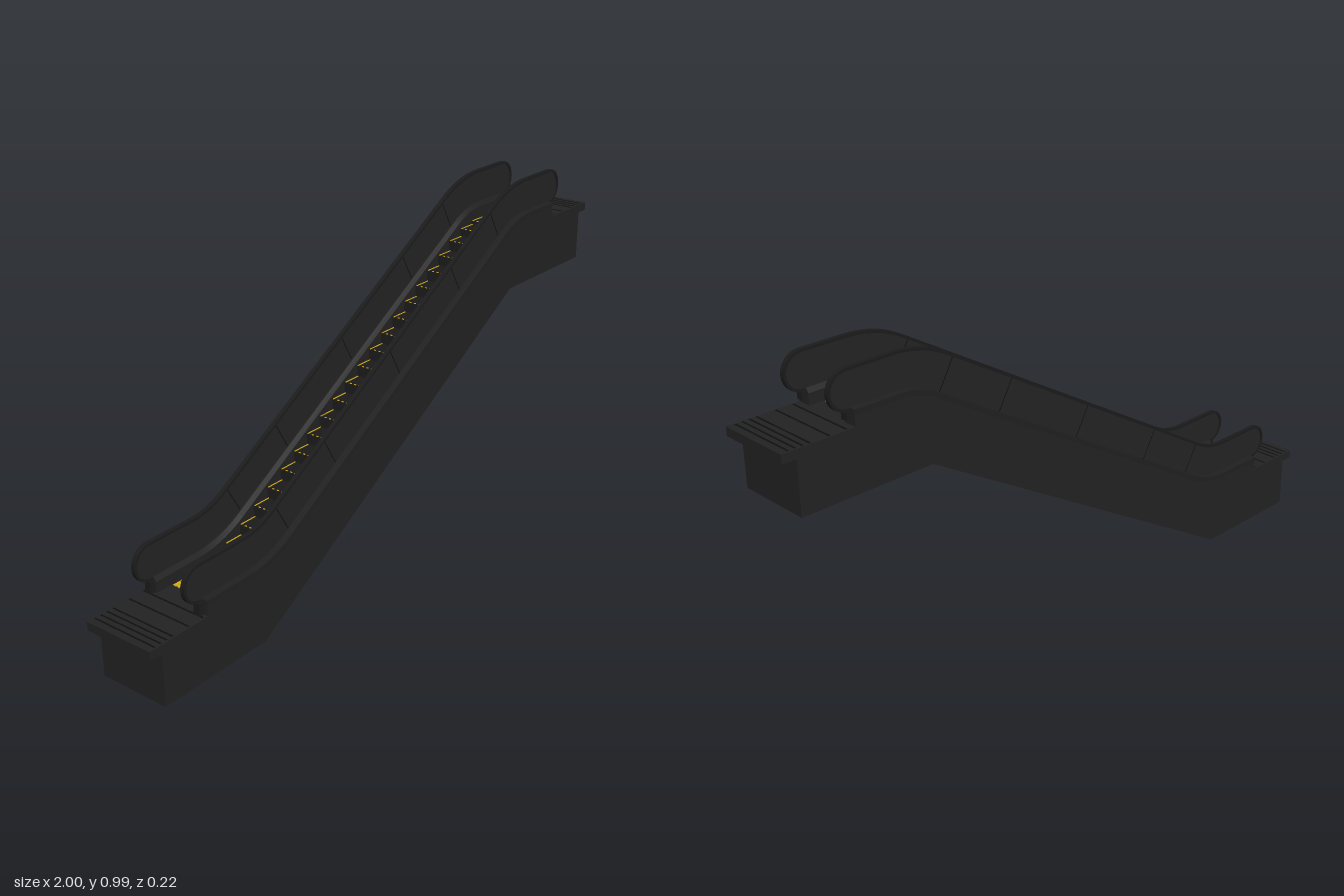
import * as THREE from 'three';
import { mergeGeometries, toCreasedNormals } from 'three/addons/utils/BufferGeometryUtils.js';

const mat = (name, color, side = THREE.FrontSide) => {
  const m = new THREE.MeshStandardMaterial({ color, side });
  m.name = name;
  return m;
};

// Balustrade centre line: flat, 30 degree rise, flat, with rounded bends
function makePath(x0, x1) {
  const p = new THREE.Path();
  p.moveTo(x0, 0.27);
  p.lineTo(-0.65, 0.27);
  p.quadraticCurveTo(-0.57, 0.27, -0.5, 0.3106);
  p.lineTo(0.508, 0.8945);
  p.quadraticCurveTo(0.578, 0.935, 0.66, 0.935);
  p.lineTo(x1, 0.935);
  return p;
}

// Points and normals sampled along a path
function frames(path) {
  const pts = path.getPoints(10);
  return pts.map((p, i) => {
    const a = pts[Math.max(i - 1, 0)], b = pts[Math.min(i + 1, pts.length - 1)];
    const t = b.clone().sub(a).normalize();
    return { p, n: new THREE.Vector2(-t.y, t.x) };
  });
}
const offset = (fr, d) => fr.map(({ p, n }) => p.clone().addScaledVector(n, d));
const drop = (fr, d) => fr.map(({ p }) => new THREE.Vector2(p.x, p.y - d));

// Stadium outline of half height r following the path, with round ends
function stadium(fr, r) {
  const cap = (c, from) => Array.from({ length: 13 }, (_, i) => {
    const a = from + Math.PI * (i + 1) / 14;
    return new THREE.Vector2(c.x + r * Math.cos(a), c.y + r * Math.sin(a));
  });
  return [...offset(fr, -r), ...cap(fr[fr.length - 1].p, -Math.PI / 2),
    ...offset(fr, r).reverse(), ...cap(fr[0].p, Math.PI / 2)];
}

// Extrude an x-y outline between two z values
function slab(points, z0, z1, hole) {
  const s = new THREE.Shape(points);
  if (hole) s.holes.push(new THREE.Path(hole));
  const g = new THREE.ExtrudeGeometry(s, { depth: z1 - z0, bevelEnabled: false });
  return toCreasedNormals(g.translate(0, 0, z0), 0.6);
}

// Sweep a convex (z, offset) section along the path
function sweep(fr, section) {
  const k = section.length, pos = [], idx = [];
  fr.forEach(({ p, n }) => section.forEach(([z, d]) => pos.push(p.x + n.x * d, p.y + n.y * d, z)));
  for (let i = 0; i < fr.length - 1; i++) {
    for (let j = 0; j < k; j++) {
      const a = i * k + j, b = i * k + (j + 1) % k;
      idx.push(a, a + k, b, b, a + k, b + k);
    }
  }
  const e = (fr.length - 1) * k;
  for (let j = 1; j < k - 1; j++) idx.push(0, j, j + 1, e, e + j + 1, e + j);
  const g = new THREE.BufferGeometry();
  g.setAttribute('position', new THREE.Float32BufferAttribute(pos, 3));
  g.setIndex(idx);
  return toCreasedNormals(g, 0.3);
}

// Box given by its limits
const box = (x0, x1, y0, y1, z0, z1) => new THREE.BoxGeometry(x1 - x0, y1 - y0, z1 - z0)
  .translate((x0 + x1) / 2, (y0 + y1) / 2, (z0 + z1) / 2);

export function createModel() {
  const group = new THREE.Group();
  group.name = 'escalator';
  const body = mat('charcoal cladding', 0x222222);
  const deckMat = mat('dark deck', 0x202020, THREE.DoubleSide);
  const rubber = mat('black rubber', 0x1b1b1b);
  const panelMat = mat('smoked panel', 0x232323);
  const stepMat = mat('step metal', 0x1c1c1c);
  const seamMat = mat('seam black', 0x101010);
  const yellow = mat('safety yellow', 0xd6ac14);
  const add = (name, geometry, material, parent = group) => {
    const m = new THREE.Mesh(geometry, material);
    m.name = name;
    parent.add(m);
  };

  // Truss casing beneath the steps
  const bottom = [[-0.96, 0], [-0.59, 0], [0.56, 0.67], [0.96, 0.67]].map(([x, y]) => new THREE.Vector2(x, y));
  const trussTop = drop(frames(makePath(-0.96, 0.96)), 0.12).reverse();
  add('truss', slab([...bottom, ...trussTop], -0.11, 0.11), body);

  // Both sides: wall, deck, panel, handrail and inlet
  const wallLine = frames(makePath(-0.8, 0.79));
  const railLine = frames(makePath(-0.805, 0.795));
  for (const s of [1, -1]) {
    const side = new THREE.Group();
    side.name = s > 0 ? 'frontBalustrade' : 'backBalustrade';
    group.add(side);
    const z = (a, b) => (s > 0 ? [a, b] : [-b, -a]);
    add('sideWall', slab([...drop(wallLine, 0.121), ...offset(wallLine, -0.06).reverse()], ...z(0.07, 0.11)), body, side);
    const section = [[0.11, -0.062], [0.11, -0.046], [0.079, -0.046], [0.07, -0.058], [0.07, -0.062]];
    add('deck', sweep(wallLine, section.map(([a, d]) => [a * s, d])), deckMat, side);
    add('panel', slab(stadium(railLine, 0.049), ...z(0.083, 0.089)), panelMat, side);
    add('handrail', slab(stadium(railLine, 0.055), ...z(0.0795, 0.0925), stadium(railLine, 0.047)), rubber, side);
    const inlets = [box(-0.815, -0.76, 0.18, 0.217, ...z(0.076, 0.096)), box(0.75, 0.805, 0.86, 0.882, ...z(0.076, 0.096))];
    add('handrailInlets', mergeGeometries(inlets), rubber, side);
    const joints = [-0.49, -0.29, 0, 0.29, 0.49].map((x) => {
      const g = new THREE.BoxGeometry(0.003, 0.094, 0.0066);
      return g.rotateZ(Math.PI / 6).translate(x, 0.6 + 0.579 * x, 0.086 * s);
    });
    add('panelJoints', mergeGeometries(joints), seamMat, side);
  }

  // Steps with cleats and yellow edge lines
  const count = 25;
  const nodes = makePath(-0.74, 0.74).getSpacedPoints(count);
  const treads = [], cleats = [], lines = [];
  for (let i = 0; i < count; i++) {
    const x0 = nodes[i].x, x1 = nodes[i + 1].x;
    const y = (nodes[i].y + nodes[i + 1].y) / 2 - 0.09;
    treads.push(box(x0, x1 + 0.004, y - 0.045, y - 0.002, -0.069, 0.069));
    for (let j = -7; j <= 7; j++) {
      cleats.push(box(x0 + 0.003, x1, y - 0.002, y, j * 0.008 - 0.002, j * 0.008 + 0.002));
      if (j % 2 === 0) lines.push(box(x0, x0 + 0.003, y - 0.002, y, j * 0.008 - 0.003, j * 0.008 + 0.003));
    }
    for (const s of [-1, 1]) lines.push(box(x0, x1, y - 0.002, y, s * 0.065 - 0.0012, s * 0.065 + 0.0012));
  }
  add('steps', mergeGeometries(treads), stepMat);
  add('stepCleats', mergeGeometries(cleats), stepMat);
  add('stepEdgeLines', mergeGeometries(lines), yellow);

  // Landings with overhanging floor plates, seams and comb teeth
  for (const [name, s, top] of [['lowerLanding', -1, 0.18], ['upperLanding', 1, 0.845]]) {
    const landing = new THREE.Group();
    landing.name = name;
    group.add(landing);
    const span = (a, b) => (s > 0 ? [a, b] : [-b, -a]);
    const plates = [box(...span(0.79, 1), top - 0.025, top, -0.11, 0.11),
      box(...span(0.735, 0.79), top - 0.045, top, -0.07, 0.07),
      box(...span(0.79, 0.96), top - 0.04, top - 0.02, -0.11, 0.11)];
    add('floorPlate', mergeGeometries(plates), body, landing);
    const seams = [0.81, 0.86, 0.915, 0.935, 0.955, 0.975].map((x) => box(...span(x, x + 0.005), top, top + 0.001, -0.105, 0.105));
    add('floorSeams', mergeGeometries(seams), seamMat, landing);
    const teeth = [];
    for (let j = -4; j <= 4; j++) {
      teeth.push(box(...span(0.728, 0.748), top, top + 0.003, j * 0.0145 - 0.005, j * 0.0145 + 0.005));
    }
    teeth.push(box(...span(0.735, 0.745), top, top + 0.002, -0.064, 0.064));
    add('combTeeth', mergeGeometries(teeth), yellow, landing);
  }
  return group;
}
